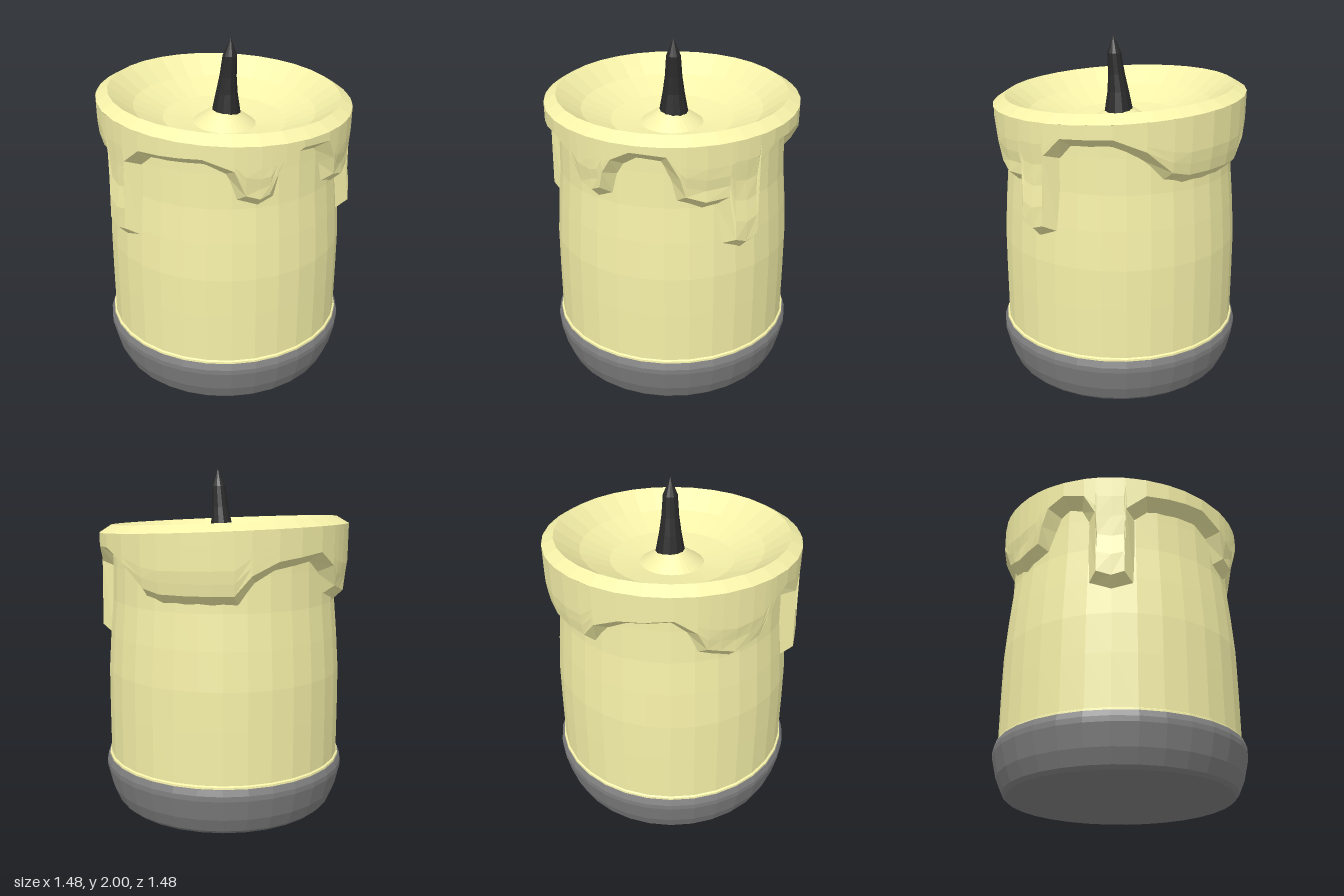
import * as THREE from 'three';

const SIDES = 32;
const RAD = Math.PI / 180;
const WAX = 0xf5f0a8;

const material = (color) =>
  new THREE.MeshStandardMaterial({ color, flatShading: true, side: THREE.DoubleSide });

function lathe(name, points, color, sides = SIDES) {
  const geometry = new THREE.LatheGeometry(points.map(([r, y]) => new THREE.Vector2(r, y)), sides);
  const mesh = new THREE.Mesh(geometry, material(color));
  mesh.name = name;
  return mesh;
}

// Joins rows of points into a closed band; every row has the same count
function loft(rows) {
  const n = rows[0].length;
  const index = [];
  for (let j = 0; j < rows.length - 1; j++) {
    for (let i = 0; i < n; i++) {
      const a = j * n + i, b = j * n + (i + 1) % n;
      index.push(a, b, b + n, a, b + n, a + n);
    }
  }
  const geometry = new THREE.BufferGeometry();
  geometry.setAttribute('position', new THREE.Float32BufferAttribute(rows.flat(2), 3));
  geometry.setIndex(index);
  geometry.computeVertexNormals();
  return geometry;
}

// Piecewise linear lookup in [key, value] pairs
function lookup(table, t) {
  for (let i = 1; i < table.length; i++) {
    const [a, va] = table[i - 1], [b, vb] = table[i];
    if (t <= b) return THREE.MathUtils.lerp(va, vb, THREE.MathUtils.clamp((t - a) / (b - a), 0, 1));
  }
  return table[table.length - 1][1];
}

// Radii by height: candle body and the melted layer over it
const BODY = [[0.28, 0.7], [0.6, 0.7], [0.83, 0.698], [1.05, 0.683], [1.25, 0.665], [1.45, 0.66], [1.6, 0.66]];
const MELT = [[1.0, 0.735], [1.1, 0.752], [1.22, 0.735], [1.35, 0.715], [1.46, 0.735], [1.7, 0.738]];
const tilt = (x) => -0.055 * x;

// Lower edge of the melted wax: [degrees from the front towards the left, height]
const DRIPS = [
  [-45, 1.3], [-41, 1.42], [-38, 1.5], [-33, 1.53], [-27, 1.51], [-23.5, 1.43], [-22.5, 1.02],
  [-11.5, 0.97], [-1, 1.01], [0, 1.43], [6, 1.49], [32, 1.5], [42, 1.45], [47, 1.3],
  [57, 1.26], [65, 1.3], [68, 1.42], [71, 1.48], [77, 1.52], [88, 1.51], [92, 1.42],
  [95, 1.29], [107, 1.24], [114, 1.25], [116, 1.02], [126, 0.97], [136.5, 1.02], [137.5, 1.43],
  [143, 1.5], [162, 1.51], [174, 1.45], [186, 1.32], [196, 1.29], [232, 1.29], [240, 1.41], [250, 1.47],
  [270, 1.5], [277, 1.44], [282, 1.31], [298, 1.25],
];

function meltedWax() {
  // Split wide spans so the layer stays round
  const edge = [];
  DRIPS.forEach(([a, y], i) => {
    const [b, y2] = i + 1 < DRIPS.length ? DRIPS[i + 1] : [DRIPS[0][0] + 360, DRIPS[0][1]];
    const parts = Math.ceil((b - a) / 12);
    for (let k = 0; k < parts; k++) {
      edge.push([(a + (b - a) * k / parts) * RAD, y + (y2 - y) * k / parts]);
    }
  });

  // Offset the edge into the wax for the rounded underside
  const n = edge.length, R = 0.7, bevel = 0.06;
  const normal = (p, q) => {
    let da = q[0] - p[0];
    if (da < 0) da += Math.PI * 2;
    return new THREE.Vector2(p[1] - q[1], da * R).normalize();
  };
  const outer = edge.map((p, i) => {
    const n1 = normal(edge[(i + n - 1) % n], p), n2 = normal(p, edge[(i + 1) % n]);
    const m = n1.clone().add(n2).normalize();
    m.multiplyScalar(bevel / Math.max(0.75, m.dot(n1)));
    return [p[0] + m.x / R, p[1] + m.y];
  });

  const at = (a, r, y) => [r * Math.sin(a), y, r * Math.cos(a)];
  const rows = [edge.map(([a, y]) => at(a, lookup(BODY, y) - 0.01, y))];
  const steps = 5;
  for (let k = 0; k <= steps; k++) {
    rows.push(outer.map(([a, y]) => {
      const top = 1.66 + tilt(0.738 * Math.sin(a));
      const h = THREE.MathUtils.lerp(y, top, k / steps);
      return at(a, lookup(MELT, h), h);
    }));
  }
  const mesh = new THREE.Mesh(loft(rows), material(WAX));
  mesh.name = 'meltedWax';
  return mesh;
}

export function createModel() {
  const group = new THREE.Group();
  group.name = 'candle';

  // Dish-shaped holder
  group.add(lathe('holder', [
    [0, 0], [0.645, 0], [0.665, 0.02], [0.7, 0.1], [0.728, 0.22], [0.728, 0.25], [0.715, 0.285], [0.69, 0.29],
  ], 0x808080));

  // Candle body with a thin collar of wax above the holder
  group.add(lathe('body', BODY.map(([y, r]) => [r, y]), WAX));
  group.add(lathe('collar', [[0.712, 0.28], [0.71, 0.297], [0.695, 0.305]], WAX));
  group.add(meltedWax());

  // Sloping lip, hollow pool and the mound around the wick
  const pool = lathe('pool', [
    [0.738, 1.66], [0.67, 1.702], [0.53, 1.6], [0.36, 1.525], [0.185, 1.5], [0.08, 1.575], [0, 1.59],
  ], WAX);
  const p = pool.geometry.attributes.position;
  for (let i = 0; i < p.count; i++) p.setY(i, p.getY(i) + tilt(p.getX(i)));
  pool.geometry.computeVertexNormals();
  group.add(pool);

  // Slightly bent wick: [height, radius, x]
  const rings = [[1.55, 0.088, 0.005], [1.68, 0.064, 0.01], [1.78, 0.05, 0.02], [1.9, 0.042, 0.033], [2, 0.001, 0.04]];
  const wick = new THREE.Mesh(loft(rings.map(([y, r, x]) =>
    Array.from({ length: 12 }, (_, i) => {
      const a = i / 12 * Math.PI * 2;
      return [x + r * Math.sin(a), y, -0.01 + r * Math.cos(a)];
    }))), material(0x2a2a2a));
  wick.name = 'wick';
  group.add(wick);

  return group;
}
